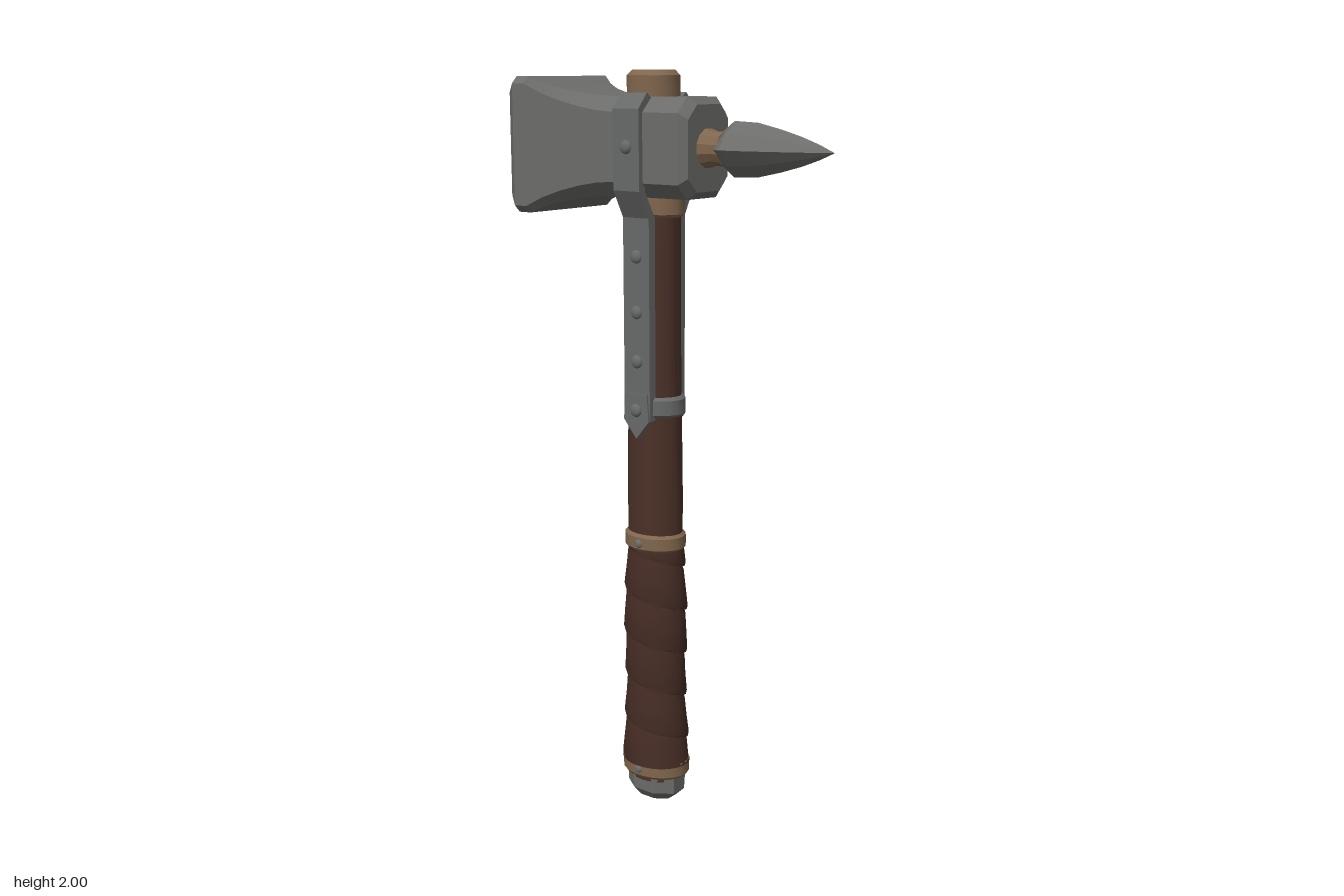
import * as THREE from 'three';
import { toCreasedNormals } from 'three/addons/utils/BufferGeometryUtils.js';

const material = (name, color) => {
  const m = new THREE.MeshStandardMaterial({ color });
  m.name = name;
  return m;
};

const AXIS = -0.09;   // x of the handle axis
const HEAD_Y = 1.808; // height of the head axis

// Skin closed rings of [x, y, z] running towards +x, capped at both ends
function loft(rings, crease) {
  const pos = [];
  const n = rings[0].length;
  const mid = r => [0, 1, 2].map(k => r.reduce((s, p) => s + p[k], 0) / n);
  const first = rings[0], last = rings[rings.length - 1];
  const c0 = mid(first), c1 = mid(last);
  for (let j = 0; j < n; j++) {
    const k = (j + 1) % n;
    for (let i = 0; i < rings.length - 1; i++) {
      const a = rings[i][j], b = rings[i][k], c = rings[i + 1][k], d = rings[i + 1][j];
      pos.push(...a, ...b, ...c, ...a, ...c, ...d);
    }
    pos.push(...c0, ...first[k], ...first[j], ...c1, ...last[j], ...last[k]);
  }
  const g = new THREE.BufferGeometry();
  g.setAttribute('position', new THREE.Float32BufferAttribute(pos, 3));
  return toCreasedNormals(g, crease);
}

// Chamfered rectangle across the x axis
const chamferRing = ([x, h, w, c]) => [
  [h, -w + c], [h, w - c], [h - c, w], [-h + c, w],
  [-h, w - c], [-h, -w + c], [-h + c, -w], [h - c, -w],
].map(([y, z]) => [x, HEAD_Y + y, z]);

// Turned part with an oval section; profile is [radius, y] from bottom to top
function turned(profile, depth = 1, sides = 20, crease = 0.5) {
  const g = new THREE.LatheGeometry(profile.map(p => new THREE.Vector2(...p)), sides);
  g.rotateY(Math.PI / sides);
  g.scale(1, 1, depth);
  return toCreasedNormals(g, crease);
}

const bandProfile = (r, y0, y1, b = 0.008) => [
  [0, y0], [r - b, y0], [r, y0 + b], [r, y1 - b], [r - b, y1], [0, y1],
];

// Spiral leather wrap: each turn steps outwards along a slanted edge
function wrapGeometry(y0, y1, pitch) {
  const steps = [[0, 0.004], [0.08, 0.007], [0.5, 0.003], [0.9, 0], [0.995, -0.003]];
  const turns = Math.ceil((y1 - y0) / pitch) + 2;
  const rows = turns * steps.length - 1;
  const g = new THREE.CylinderGeometry(1, 1, 1, 28, rows, true);
  const p = g.attributes.position, uv = g.attributes.uv;
  for (let i = 0; i < p.count; i++) {
    const row = Math.round(uv.getY(i) * rows);
    const [f, dr] = steps[row % steps.length];
    const a = uv.getX(i) * Math.PI * 2;
    const raw = y0 + pitch * (Math.floor(row / steps.length) - 1 + f + 1 - uv.getX(i) - 0.35);
    const y = THREE.MathUtils.clamp(raw, y0, y1);
    const t = (y - y0) / (y1 - y0);
    const r = 0.091 - 0.009 * t + dr + 0.003 * Math.cos(t * 9);
    p.setXYZ(i, Math.cos(a) * r, y, -Math.sin(a) * r * 0.83);
  }
  return toCreasedNormals(g, 0.6);
}

export function createModel() {
  const steel = material('steel', 0x6c6c6a);
  const iron = material('strap iron', 0x686969);
  const tan = material('tan wood', 0x80664d);
  const wood = material('dark wood', 0x4a3027);
  const leather = material('leather', 0x452c24);

  const model = new THREE.Group();
  model.name = 'warHammer';
  const handle = new THREE.Group();
  handle.name = 'handle';
  handle.position.x = AXIS;
  const head = new THREE.Group();
  head.name = 'head';
  model.add(handle, head);

  const add = (parent, name, geometry, mat) => {
    const mesh = new THREE.Mesh(geometry, mat);
    mesh.name = name;
    parent.add(mesh);
    return mesh;
  };

  // Shaft, grip and pommel
  add(handle, 'shaft', turned([[0, 0.06], [0.08, 0.06], [0.081, 0.9], [0.076, 1.3], [0.075, 1.75], [0, 1.75]], 0.79), wood);
  add(handle, 'gripWrap', wrapGeometry(0.11, 0.74, 0.125), leather);
  add(handle, 'pommel', turned([[0, 0], [0.06, 0], [0.088, 0.025], [0.092, 0.085], [0, 0.085]], 0.7, 8, 0.2), steel);

  // Bands around the shaft
  add(handle, 'lowerBand', turned(bandProfile(0.1, 0.073, 0.125), 0.8), tan);
  add(handle, 'upperBand', turned(bandProfile(0.089, 0.732, 0.78), 0.82), tan);
  add(handle, 'ironBand', turned(bandProfile(0.089, 1.105, 1.16), 0.79), iron);
  add(handle, 'headCollar', turned(bandProfile(0.088, 1.63, 1.7), 0.74), tan);
  add(handle, 'topPlug', turned(bandProfile(0.069, 1.9, 2.0, 0.014)), tan);

  // Hammer head, flaring towards the striking face
  const sections = [
    [-0.465, 0.148, 0.14, 0.015], [-0.425, 0.175, 0.172, 0.018], [-0.385, 0.175, 0.172, 0.018],
    [-0.345, 0.155, 0.15, 0.022], [-0.3, 0.142, 0.13, 0.027], [-0.25, 0.133, 0.115, 0.032],
    [-0.2, 0.128, 0.105, 0.036], [-0.15, 0.126, 0.1, 0.038], [0.065, 0.126, 0.098, 0.038],
    [0.086, 0.108, 0.082, 0.036],
  ];
  add(head, 'hammerHead', loft(sections.map(chamferRing), 0.35), steel);

  // Spike on a short neck
  const neck = turned([[0, 0], [0.052, 0], [0.046, 0.02], [0.042, 0.035], [0.045, 0.065], [0, 0.065]], 1, 12);
  const neckMesh = add(head, 'spikeNeck', neck, tan);
  neckMesh.rotation.z = -Math.PI / 2;
  neckMesh.position.set(0.08, HEAD_Y, 0);
  const spikeSections = [
    [0.135, 0.045], [0.168, 0.069], [0.24, 0.066], [0.31, 0.051],
    [0.37, 0.035], [0.42, 0.018], [0.46, 0.001],
  ];
  const spikeRing = ([x, r]) => Array.from({ length: 8 }, (_, j) => {
    const a = j * Math.PI / 4;
    const s = j % 2 ? r * 0.8 : r; // softened diamond
    return [x, HEAD_Y + Math.cos(a) * s, Math.sin(a) * s];
  });
  add(head, 'spike', loft(spikeSections.map(spikeRing), 0.2), steel);

  // Riveted straps on the front and back
  const profile = new THREE.Shape([
    [0.05, 1.1], [0.074, 1.1], [0.075, 1.63], [0.112, 1.7], [0.114, 1.905], [0.08, 1.944],
    [0.06, 1.93], [0.09, 1.895], [0.09, 1.7], [0.05, 1.63],
  ].map(p => new THREE.Vector2(...p)));
  const strapGeo = new THREE.ExtrudeGeometry(profile, { depth: 0.086, bevelEnabled: false });
  strapGeo.translate(0, 0, -0.043);
  strapGeo.rotateY(-Math.PI / 2);

  const tipShape = new THREE.Shape([
    [0, 1.048], [0.042, 1.098], [0.036, 1.17], [-0.036, 1.17], [-0.042, 1.098],
  ].map(p => new THREE.Vector2(...p)));
  const tipGeo = new THREE.ExtrudeGeometry(tipShape, { depth: 0.03, bevelEnabled: false });

  const rivetGeo = new THREE.SphereGeometry(0.018, 12, 6, 0, Math.PI * 2, 0, Math.PI / 2);
  rivetGeo.rotateX(Math.PI / 2);
  rivetGeo.scale(1, 1, 0.55);
  const rivets = [[1.81, 0.113], [1.53, 0.074], [1.385, 0.074], [1.255, 0.074], [1.125, 0.079]];
  const pins = [[0.755, 0.072], [0.099, 0.079]];

  for (const side of ['front', 'back']) {
    const strap = new THREE.Group();
    strap.name = side + 'Strap';
    if (side === 'back') strap.rotation.y = Math.PI;
    handle.add(strap);
    add(strap, 'strapBar', strapGeo, iron);
    add(strap, 'strapTip', tipGeo, iron).position.z = 0.049;
    for (const [y, z] of rivets) add(strap, 'rivet', rivetGeo, iron).position.set(0, y, z);
    for (const [y, z] of pins) {
      const pin = add(strap, 'bandPin', rivetGeo, steel);
      pin.position.set(0, y, z);
      pin.scale.setScalar(0.65);
    }
  }
  return model;
}
